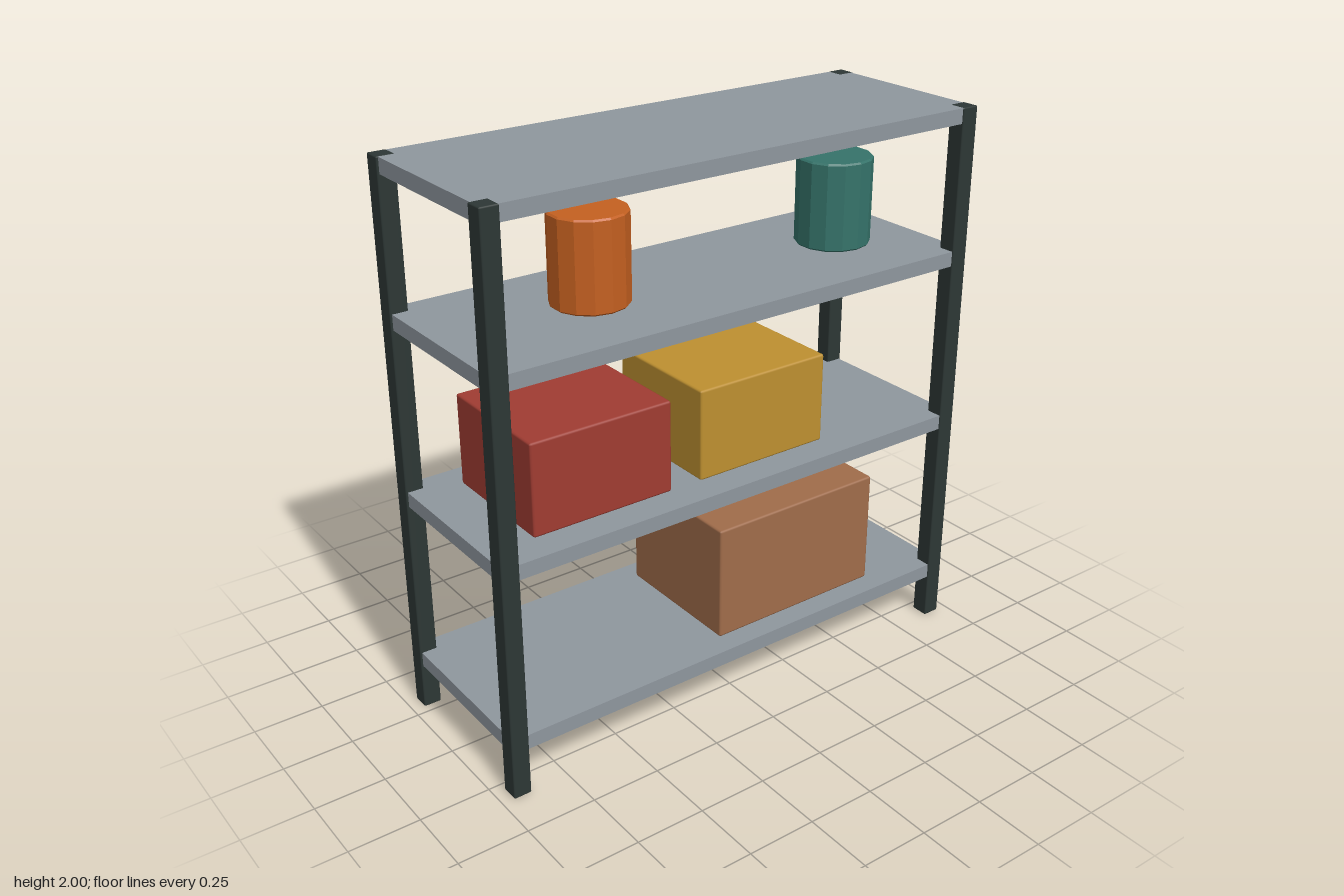
import * as THREE from 'three';
import { RoundedBoxGeometry } from 'three/addons/geometries/RoundedBoxGeometry.js';

const paint = (name, color) => {
  const m = new THREE.MeshStandardMaterial({ color });
  m.name = name;
  return m;
};

export function createModel() {
  const group = new THREE.Group();
  group.name = 'storageRack';

  const postDark = paint('dark post metal', 0x2d3735);
  const shelfGrey = paint('shelf grey', 0x8f979e);
  const brown = paint('cardboard brown', 0xa06c4a);
  const red = paint('crate red', 0xa03c32);
  const yellow = paint('crate yellow', 0xbe9030);
  const orange = paint('can orange', 0xc46020);
  const teal = paint('can teal', 0x35736a);

  const add = (name, geometry, material, x, y, z = 0) => {
    const mesh = new THREE.Mesh(geometry, material);
    mesh.name = name;
    mesh.position.set(x, y, z);
    group.add(mesh);
  };

  // Four corner posts with slightly softened edges
  const postGeometry = new RoundedBoxGeometry(0.065, 2, 0.065, 1, 0.005);
  for (const [side, x] of [['Left', 0.925], ['Right', -0.925]]) {
    for (const [end, z] of [['front', 0.312], ['back', -0.312]]) {
      add(`${end}${side}Post`, postGeometry, postDark, x, 1, z);
    }
  }

  // Shelves set just inside the outer faces of the posts
  const shelfGeometry = new THREE.BoxGeometry(1.9, 0.054, 0.68);
  [0.198, 0.832, 1.465, 1.972].forEach((y, i) => {
    add(`shelf${i + 1}`, shelfGeometry, shelfGrey, 0, y);
  });

  // Boxes standing on the two lower shelves
  const box = (name, material, x, base, w, h, d) =>
    add(name, new RoundedBoxGeometry(w, h, d, 1, 0.008), material, x, base + h / 2);
  box('largeBox', brown, 0.292, 0.226, 0.696, 0.428, 0.524);
  box('redBox', red, -0.507, 0.86, 0.532, 0.33, 0.466);
  box('yellowBox', yellow, 0.145, 0.86, 0.532, 0.33, 0.466);

  // Faceted cans on the third shelf, with a small bevel at each rim
  const r = 0.135, h = 0.314, b = 0.006;
  const profile = [[0, 0], [r - b, 0], [r, b], [r, h - b], [r - b, h], [0, h]]
    .map(([x, y]) => new THREE.Vector2(x, y));
  const canGeometry = new THREE.LatheGeometry(profile, 14).toNonIndexed();
  canGeometry.computeVertexNormals();
  add('orangeCan', canGeometry, orange, -0.392, 1.494);
  add('tealCan', canGeometry, teal, 0.633, 1.494);

  return group;
}
